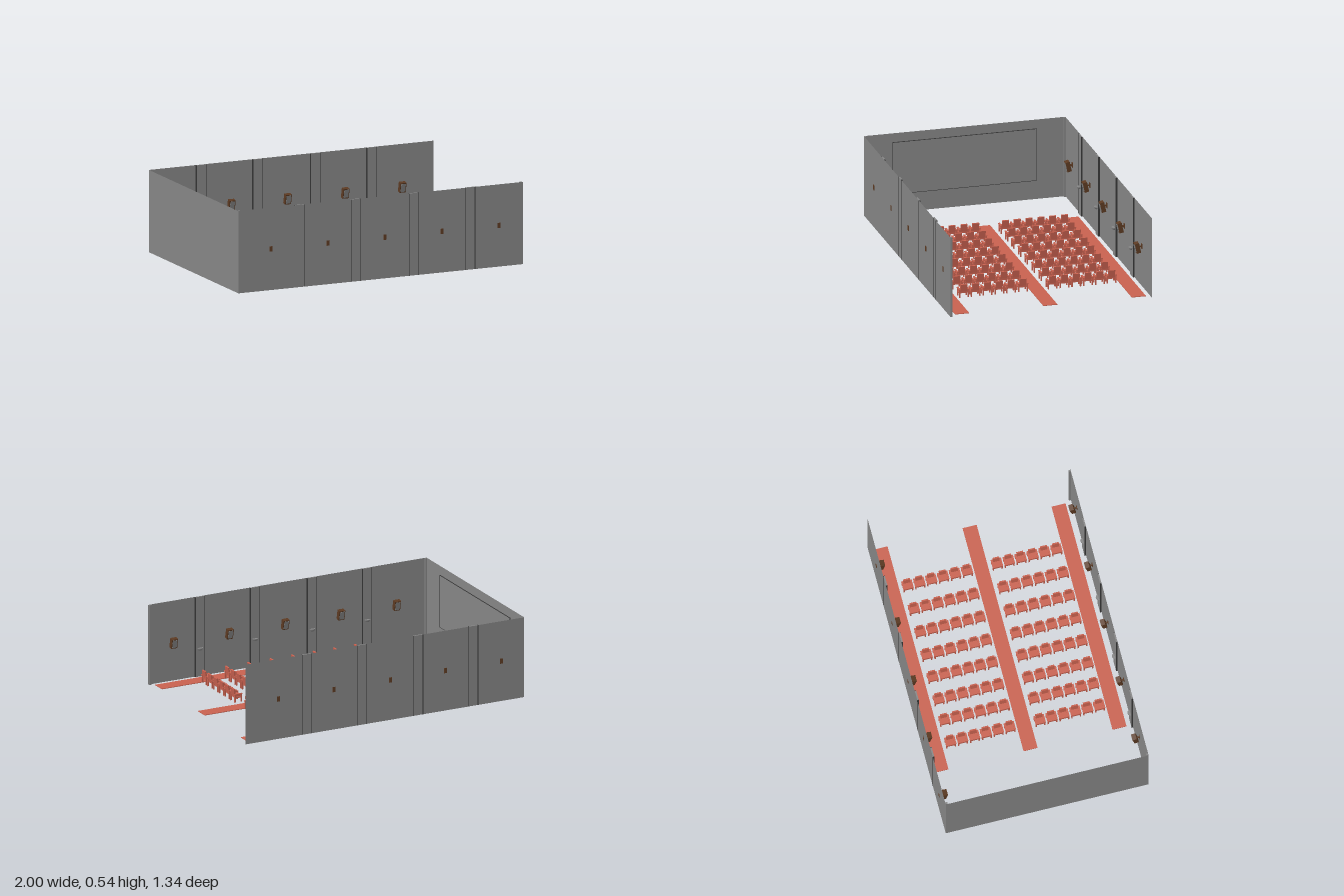
import * as THREE from 'three';

const mat = (name, color, side = THREE.FrontSide) => {
  const m = new THREE.MeshStandardMaterial({ color, side });
  m.name = name;
  return m;
};

export function createModel() {
  const grey = mat('wall grey', 0x858585, THREE.DoubleSide);
  const dark = mat('joint dark grey', 0x383838);
  const red = mat('upholstery red', 0xc8614f);
  const brown = mat('speaker brown', 0x5c3a22);
  const hall = new THREE.Group();
  hall.name = 'cinemaHall';
  const H = 0.535, Z = 0.665;

  const box = (parent, name, material, size, pos) => {
    const m = new THREE.Mesh(new THREE.BoxGeometry(...size), material);
    m.name = name;
    m.position.set(...pos);
    parent.add(m);
    return m;
  };
  const group = (parent, name, x, y, z) => {
    const g = new THREE.Group();
    g.name = name;
    g.position.set(x, y, z);
    parent.add(g);
    return g;
  };
  const plane = (name, w, pos, turn) => {
    const m = new THREE.Mesh(new THREE.PlaneGeometry(w, H), grey);
    m.name = name;
    m.position.set(...pos);
    m.rotation.y = turn;
    hall.add(m);
  };

  // Thin walls; the +x end stays open
  plane('frontWall', 2, [0, H / 2, Z], 0);
  plane('backWall', 2, [0, H / 2, -Z], 0);
  plane('screenWall', 2 * Z, [-1, H / 2, 0], Math.PI / 2);

  // Screen with a hairline border
  box(hall, 'screen', grey, [0.004, 0.345, 0.95], [-0.997, 0.3, 0]);
  for (const s of [-1, 1]) {
    box(hall, 'screenBorderSide', dark, [0.005, 0.35, 0.003], [-0.997, 0.3, s * 0.476]);
    box(hall, 'screenBorderEdge', dark, [0.005, 0.003, 0.955], [-0.997, 0.3 + s * 0.174, 0]);
  }

  // Speaker built facing +z, tilted down towards the seats
  const addSpeaker = (x, side) => {
    const g = group(hall, 'speaker', x, 0.262, side * 0.634);
    if (side > 0) g.rotation.y = Math.PI;
    box(g, 'speakerBracket', brown, [0.02, 0.034, 0.006], [0, 0.006, -0.031]);
    box(g, 'speakerArm', brown, [0.008, 0.01, 0.03], [0, 0.006, -0.018]);
    const head = group(g, 'speakerHead', 0, 0, 0);
    head.rotation.x = 0.22;
    box(head, 'speakerBody', brown, [0.042, 0.066, 0.028], [0, 0, 0]);
    box(head, 'speakerGrille', grey, [0.032, 0.054, 0.003], [0, 0, 0.0145]);
  };

  // Half-bowl wall lamp built facing +z
  const bowl = new THREE.SphereGeometry(0.019, 16, 8, 0, Math.PI, Math.PI / 2, Math.PI / 2);
  const lid = new THREE.CircleGeometry(0.019, 16, 0, Math.PI);
  const addLamp = (x, side) => {
    const g = group(hall, 'wallLamp', x, 0.193, side * 0.655);
    if (side > 0) g.rotation.y = Math.PI;
    const b = new THREE.Mesh(bowl, grey);
    b.name = 'lampBowl';
    const l = new THREE.Mesh(lid, grey);
    l.name = 'lampTop';
    l.rotation.x = Math.PI / 2;
    g.add(b, l);
  };

  // Pilasters, lamps and speakers along both long walls
  const sides = [
    { side: -1, pilasters: [-0.635, -0.24, 0.165, 0.56], speakers: [-0.835, -0.435, -0.04, 0.365, 0.765] },
    { side: 1, pilasters: [-0.57, -0.175, 0.235, 0.63], speakers: [-0.77, -0.37, 0.03, 0.43, 0.83] },
  ];
  for (const { side, pilasters, speakers } of sides) {
    for (const x of pilasters) {
      box(hall, 'pilaster', grey, [0.065, H, 0.01], [x, H / 2, side * (Z - 0.005)]);
      for (const e of [-1, 1])
        box(hall, 'pilasterJoint', dark, [0.003, H, 0.0104], [x + e * 0.0325, H / 2, side * (Z - 0.005)]);
      addLamp(x, side);
    }
    // Outer wall joints
    const joints = side > 0 ? [-0.141, 0.267, 0.662] : [-0.668, -0.273];
    for (const x of joints)
      box(hall, 'outerJoint', dark, [0.005, H, 0.002], [x, H / 2, side * Z]);
    box(hall, 'cornerPost', grey, [0.012, H, 0.012], [-0.991, H / 2, side * (Z - 0.007)]);
    for (const x of speakers) addSpeaker(x, side);
  }
  box(hall, 'endPost', grey, [0.012, H, 0.012], [0.988, H / 2, Z - 0.007]);

  // Aisle carpets
  for (const z of [-0.587, -0.003, 0.58])
    box(hall, 'aisleCarpet', red, [1.555, 0.004, 0.092], [0.19, 0.005, z]);

  // Armchair facing the screen (-x)
  const addChair = (x, z) => {
    const c = group(hall, 'armchair', x, 0, z);
    box(c, 'seat', red, [0.046, 0.018, 0.046], [-0.003, 0.047, 0]);
    box(c, 'backrest', red, [0.01, 0.048, 0.044], [0.021, 0.074, 0]).rotation.z = -0.12;
    for (const s of [-1, 1]) {
      box(c, 'armrest', red, [0.058, 0.006, 0.012], [0, 0.063, s * 0.028]);
      for (const e of [-1, 1])
        box(c, 'leg', red, [0.009, 0.052, 0.008], [e * 0.022, 0.036, s * 0.028]);
      box(c, 'seatRail', red, [0.05, 0.007, 0.008], [0, 0.042, s * 0.027]);
    }
  };
  for (const x of [-0.425, -0.275, -0.13, 0.025, 0.18, 0.34, 0.5, 0.665])
    for (const s of [-1, 1])
      for (let i = 0; i < 6; i++) addChair(x, s * (0.098 + i * 0.078));

  return hall;
}
